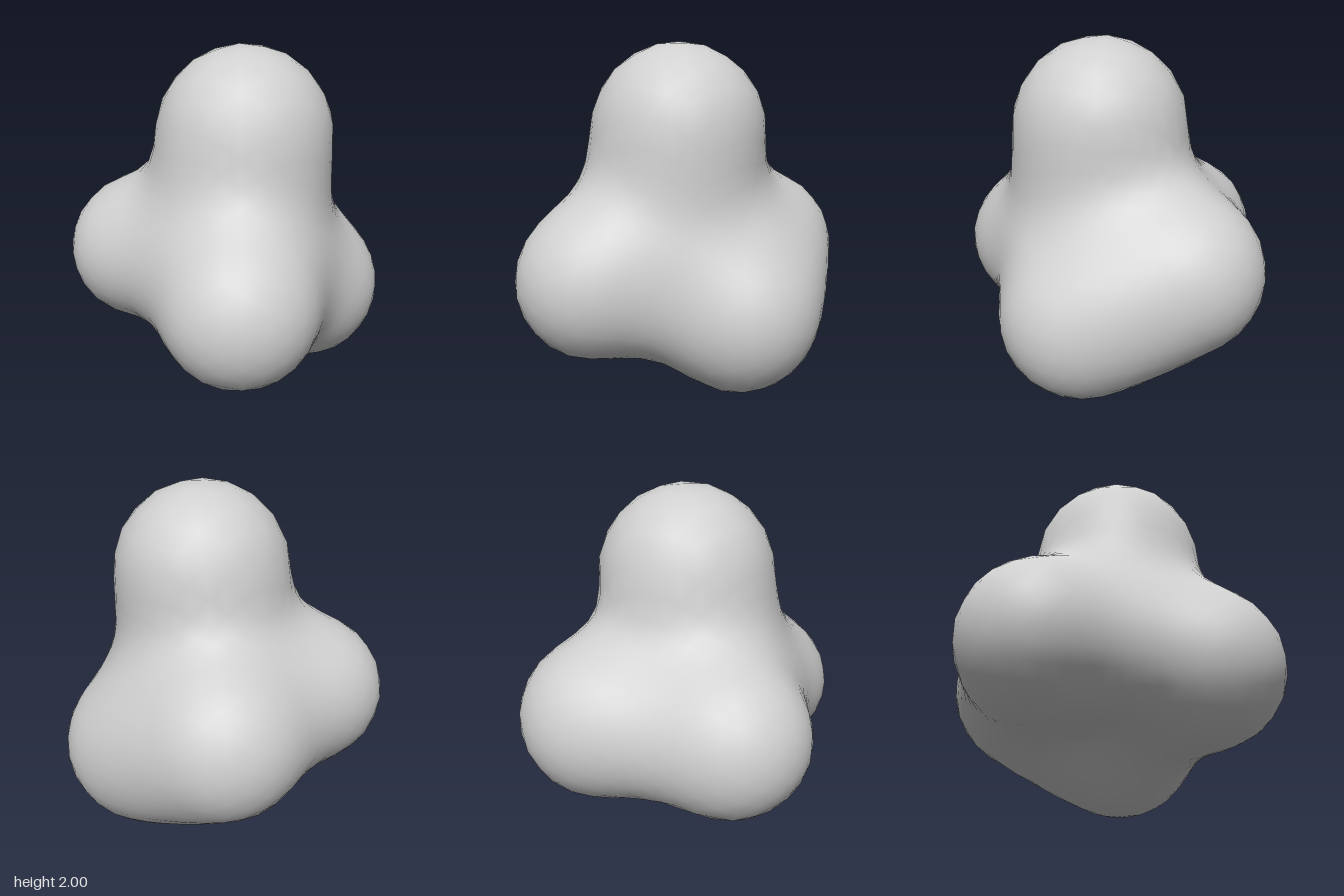
import * as THREE from 'three';
import { mergeVertices } from 'three/addons/utils/BufferGeometryUtils.js';

const V = (x, y, z) => new THREE.Vector3(x, y, z);

// Lobe centres
const centre = V(0, 0.74, 0);
const base = V(-0.04, 0.95, 0.04);
const crown = V(0.01, 1.49, 0.04);
const front = V(-0.31, 0.67, 0.475);
const backRight = V(-0.43, 0.74, -0.42);
const backLeft = V(0.33, 0.735, -0.455);
const low = V(0.405, 0.485, 0.09);

// Rounded limbs: start, end, start radius, middle radius, end radius
const column = [base, crown, 0.55, 0.53, 0.508];
const ring = [
  [front, backRight, 0.42, 0.365, 0.422],
  [backRight, backLeft, 0.422, 0.425, 0.44],
  [backLeft, low, 0.44, 0.49, 0.455],
  [low, front, 0.455, 0.39, 0.42],
];

const smoothMin = (a, b, k) => {
  const h = Math.max(k - Math.abs(a - b), 0);
  return Math.min(a, b) - (h * h) / (4 * k);
};

// Distance from a point to one limb
function limbDistance(p, [a, b, ra, rm, rb]) {
  const ab = b.clone().sub(a);
  const t = THREE.MathUtils.clamp(p.clone().sub(a).dot(ab) / ab.lengthSq(), 0, 1);
  const r = THREE.MathUtils.lerp(ra, rb, t) + 4 * t * (1 - t) * (rm - (ra + rb) / 2);
  return p.distanceTo(a.clone().addScaledVector(ab, t)) - r;
}

// Ring of lobes blended tightly, then joined to the column with a wide fillet
function field(p) {
  const lobes = ring.map((limb) => limbDistance(p, limb)).reduce((a, b) => smoothMin(a, b, 0.12));
  return smoothMin(lobes, limbDistance(p, column), 0.3);
}

// Point where a ray from the centre leaves the body
function surfacePoint(dir) {
  const at = (s) => centre.clone().addScaledVector(dir, s);
  let inside = 1.6;
  while (inside > 0.1 && field(at(inside)) > 0) inside -= 0.04;
  let outside = inside + 0.04;
  for (let n = 0; n < 12; n++) {
    const mid = (inside + outside) / 2;
    if (field(at(mid)) > 0) outside = mid;
    else inside = mid;
  }
  return at(inside);
}

export function createModel() {
  const group = new THREE.Group();
  group.name = 'blob';
  const grey = new THREE.MeshStandardMaterial({ color: 0xd0d0d0 });
  grey.name = 'light grey';

  // Sphere whose vertices are pushed out to the lobed surface
  let geo = new THREE.IcosahedronGeometry(1, 9);
  geo.deleteAttribute('uv');
  geo.deleteAttribute('normal');
  geo = mergeVertices(geo, 1e-4);
  const pos = geo.attributes.position;
  for (let i = 0; i < pos.count; i++) {
    const p = surfacePoint(V(0, 0, 0).fromBufferAttribute(pos, i).normalize());
    pos.setXYZ(i, p.x, p.y, p.z);
  }
  geo.computeVertexNormals();

  const body = new THREE.Mesh(geo, grey);
  body.name = 'lobedBody';
  group.add(body);
  return group;
}
